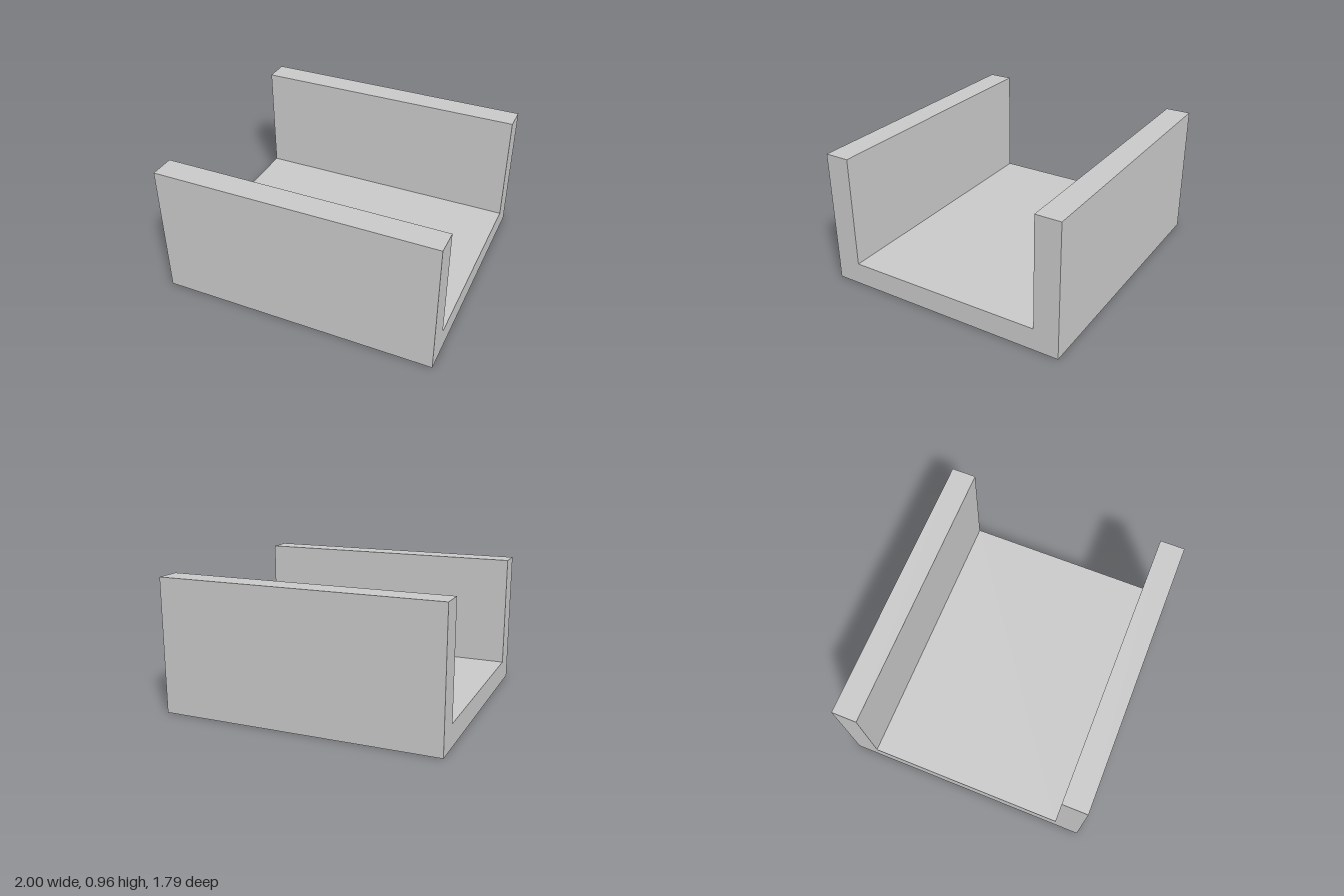
import * as THREE from 'three';

const LENGTH = 2, HALF_WIDTH = 0.893, INNER = 0.714, HEIGHT = 0.964, FLOOR = 0.161;
const POCKET_RADIUS = 0.32, POCKET_DEPTH = 0.06, SEGMENTS = 64;

// Drop the triangles facing straight down, so the underside can carry a pocket
function withoutUnderside(geometry) {
  const { position, normal } = geometry.attributes;
  const points = [];
  for (let i = 0; i < position.count; i += 3) {
    if (normal.getY(i) < -0.9) continue;
    for (let j = i; j < i + 3; j++) points.push(position.getX(j), position.getY(j), position.getZ(j));
  }
  const open = new THREE.BufferGeometry();
  open.setAttribute('position', new THREE.Float32BufferAttribute(points, 3));
  open.computeVertexNormals();
  return open;
}

export function createModel() {
  const model = new THREE.Group();
  model.name = 'channelBracket';
  const grey = new THREE.MeshStandardMaterial({ color: 0xc8c8c8 });
  grey.name = 'grey';

  const add = (name, geometry) => {
    const mesh = new THREE.Mesh(geometry, grey);
    mesh.name = name;
    model.add(mesh);
  };

  // U-shaped channel running along x
  const section = new THREE.Shape([
    [-HALF_WIDTH, 0], [HALF_WIDTH, 0], [HALF_WIDTH, HEIGHT], [INNER, HEIGHT],
    [INNER, FLOOR], [-INNER, FLOOR], [-INNER, HEIGHT], [-HALF_WIDTH, HEIGHT],
  ].map(([x, y]) => new THREE.Vector2(x, y)));
  const channel = new THREE.ExtrudeGeometry(section, { depth: LENGTH, bevelEnabled: false });
  channel.translate(0, 0, -LENGTH / 2).rotateY(Math.PI / 2);
  add('channel', withoutUnderside(channel));

  // Underside with a round opening
  const h = LENGTH / 2;
  const plate = new THREE.Shape([
    new THREE.Vector2(-h, -HALF_WIDTH), new THREE.Vector2(h, -HALF_WIDTH),
    new THREE.Vector2(h, HALF_WIDTH), new THREE.Vector2(-h, HALF_WIDTH),
  ]);
  plate.holes.push(new THREE.Path().absarc(0, 0, POCKET_RADIUS, 0, Math.PI * 2, true));
  add('underside', new THREE.ShapeGeometry(plate, SEGMENTS).rotateX(Math.PI / 2));

  // Shallow blind pocket: inward-facing wall and its flat end
  add('pocketWall', new THREE.LatheGeometry([
    new THREE.Vector2(POCKET_RADIUS, POCKET_DEPTH), new THREE.Vector2(POCKET_RADIUS, 0),
  ], SEGMENTS));
  add('pocketEnd', new THREE.CircleGeometry(POCKET_RADIUS, SEGMENTS)
    .rotateX(Math.PI / 2).translate(0, POCKET_DEPTH, 0));

  return model;
}
